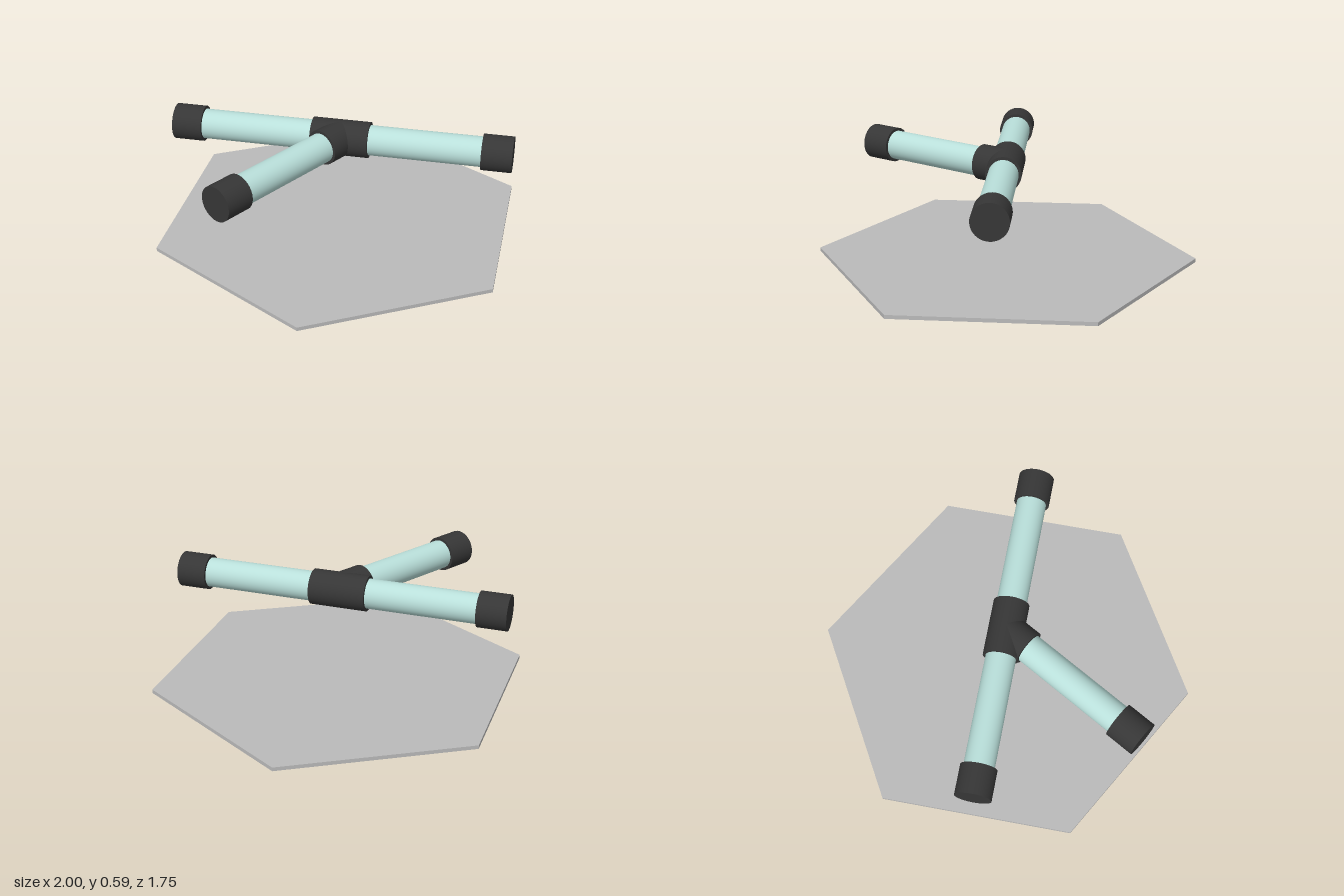
import * as THREE from 'three';

export function createModel() {
  const model = new THREE.Group();
  model.name = 'pipeTeeOnPlate';

  const plateGrey = new THREE.MeshStandardMaterial({ name: 'plate grey', color: 0xbababa });
  const pipeTeal = new THREE.MeshStandardMaterial({ name: 'pale teal', color: 0xb9dfda });
  const fittingBlack = new THREE.MeshStandardMaterial({ name: 'fitting charcoal', color: 0x363636 });
  plateGrey.flatShading = true;

  const centreZ = -0.01, height = 0.5;
  const pipeR = 0.078, fittingR = 0.093;
  const teeEnd = 0.15, capStart = 0.73, armEnd = 0.886;

  // Hexagonal base plate with corners on the x axis
  const plate = new THREE.Mesh(new THREE.CylinderGeometry(1, 1, 0.02, 6, 1, false, Math.PI / 6), plateGrey);
  plate.name = 'basePlate';
  plate.position.set(0, 0.01, centreZ);
  model.add(plate);

  // Round bar along +z from distance a to distance b
  function bar(name, radius, a, b, material) {
    const geometry = new THREE.CylinderGeometry(radius, radius, b - a, 48);
    geometry.rotateX(Math.PI / 2).translate(0, 0, (a + b) / 2);
    const mesh = new THREE.Mesh(geometry, material);
    mesh.name = name;
    return mesh;
  }

  const joint = new THREE.Group();
  joint.name = 'pipeJoint';
  joint.position.set(0, height, centreZ);
  model.add(joint);

  // Straight run of the tee fitting
  const runAngle = Math.PI * 2 / 3;
  const run = bar('teeRun', fittingR, -teeEnd, teeEnd, fittingBlack);
  run.rotation.y = runAngle;
  joint.add(run);

  // Branch of the tee fitting, towards the front
  joint.add(bar('teeBranch', fittingR, 0, teeEnd, fittingBlack));

  // Three pipes, each with an end cap
  const arms = { front: 0, left: runAngle, right: runAngle - Math.PI };
  for (const [side, angle] of Object.entries(arms)) {
    const arm = new THREE.Group();
    arm.name = side + 'Arm';
    arm.rotation.y = angle;
    arm.add(bar(side + 'Pipe', pipeR, teeEnd - 0.02, capStart + 0.02, pipeTeal));
    arm.add(bar(side + 'Cap', fittingR, capStart, armEnd, fittingBlack));
    joint.add(arm);
  }

  return model;
}
